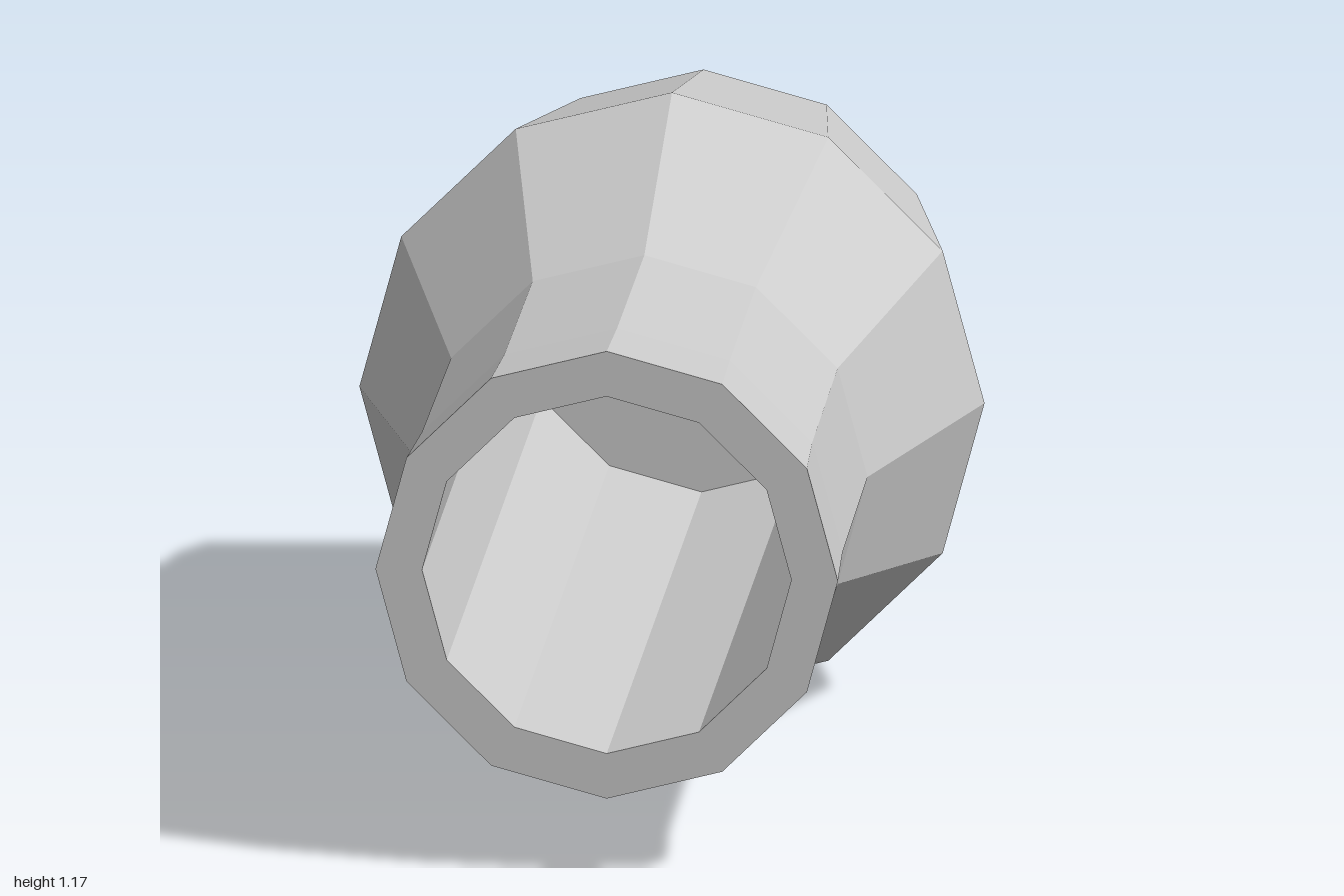
import * as THREE from 'three';

const SIDES = 12;
const AXIS_Y = 0.587;

// Turned part lying along z; profile is [radius, z] from back to front
function turned(name, profile, material) {
  const points = profile.map(([r, z]) => new THREE.Vector2(r, z));
  const geometry = new THREE.LatheGeometry(points, SIDES);
  geometry.rotateX(Math.PI / 2);
  const mesh = new THREE.Mesh(geometry, material);
  mesh.name = name;
  mesh.position.y = AXIS_Y;
  return mesh;
}

export function createModel() {
  const group = new THREE.Group();
  group.name = 'hollowHandle';
  const material = new THREE.MeshStandardMaterial({ color: 0xcccccc, flatShading: true });

  // Bulging outer shell with a chamfered back and a slightly flared neck
  group.add(turned('shell', [
    [0, -0.92], [0.275, -0.92], [0.46, -0.84], [0.584, -0.24],
    [0.417, 0.285], [0.421, 0.8], [0.432, 1],
  ], material));

  // Flat front rim
  group.add(turned('rim', [[0.432, 1], [0.345, 1]], material));

  // Straight bore and its floor
  group.add(turned('bore', [[0.345, 1], [0.345, -0.8], [0, -0.8]], material));

  // Small chamfered button on the back
  group.add(turned('backButton', [
    [0, -1], [0.052, -1], [0.085, -0.97], [0.085, -0.92],
  ], material));

  return group;
}
